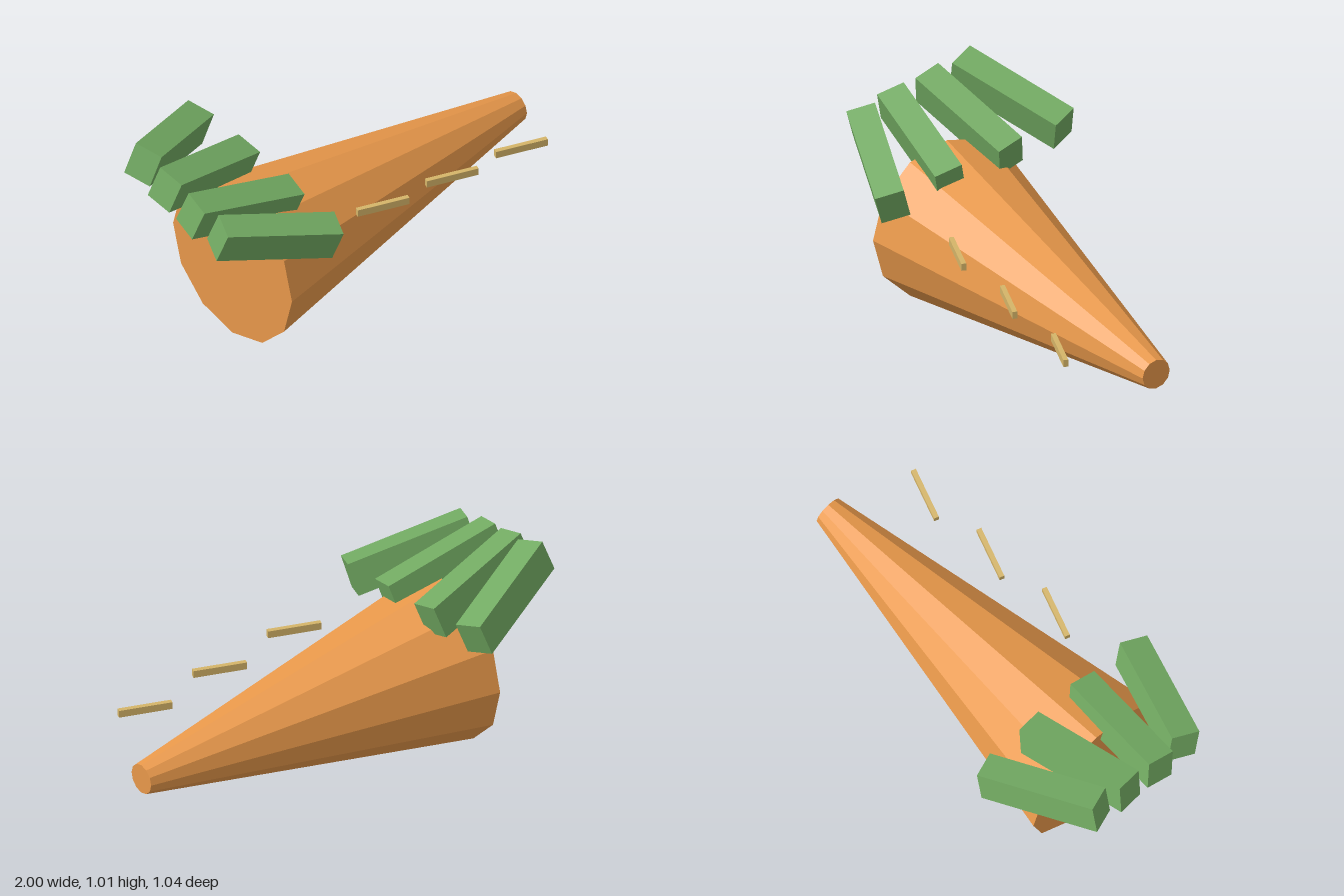
import * as THREE from 'three';

const paint = (color) => new THREE.MeshStandardMaterial({ color, flatShading: true });

export function createModel() {
  const model = new THREE.Group();
  const orange = paint(0xe8984a);
  const green = paint(0x72aa62);
  const tan = paint(0xd4b468);

  const add = (name, geometry, material, x, y, z) => {
    const mesh = new THREE.Mesh(geometry, material);
    mesh.name = name;
    mesh.position.set(x, y, z);
    model.add(mesh);
    return mesh;
  };

  // Tapered twelve-sided root lying along x, tip towards +x
  const root = new THREE.CylinderGeometry(0.07, 0.382, 1.66, 12);
  root.rotateZ(-Math.PI / 2);
  add('root', root, orange, 0.17, 0.387, 0.02);

  // Fan of four leaf blocks, all with the same pitch and roll, each turned further
  const leaf = new THREE.BoxGeometry(0.56, 0.155, 0.13);
  const leaves = [
    [-0.705, 0.734, 0.345, -0.41],
    [-0.707, 0.772, 0.122, -0.16],
    [-0.70, 0.812, -0.12, 0.09],
    [-0.702, 0.852, -0.342, 0.335],
  ];
  leaves.forEach(([x, y, z, yaw], i) => {
    add(`leaf${i + 1}`, leaf, green, x, y, z).rotation.set(0.245, yaw, -0.262, 'YXZ');
  });

  // Row of thin slanted marks stepping down along the front side
  const mark = new THREE.BoxGeometry(0.242, 0.034, 0.022);
  for (let i = 0; i < 3; i++) {
    add(`skinMark${i + 1}`, mark, tan, -0.077 + i * 0.405, 0.578 - i * 0.0485, 0.345).rotation.y = -0.35;
  }

  return model;
}
